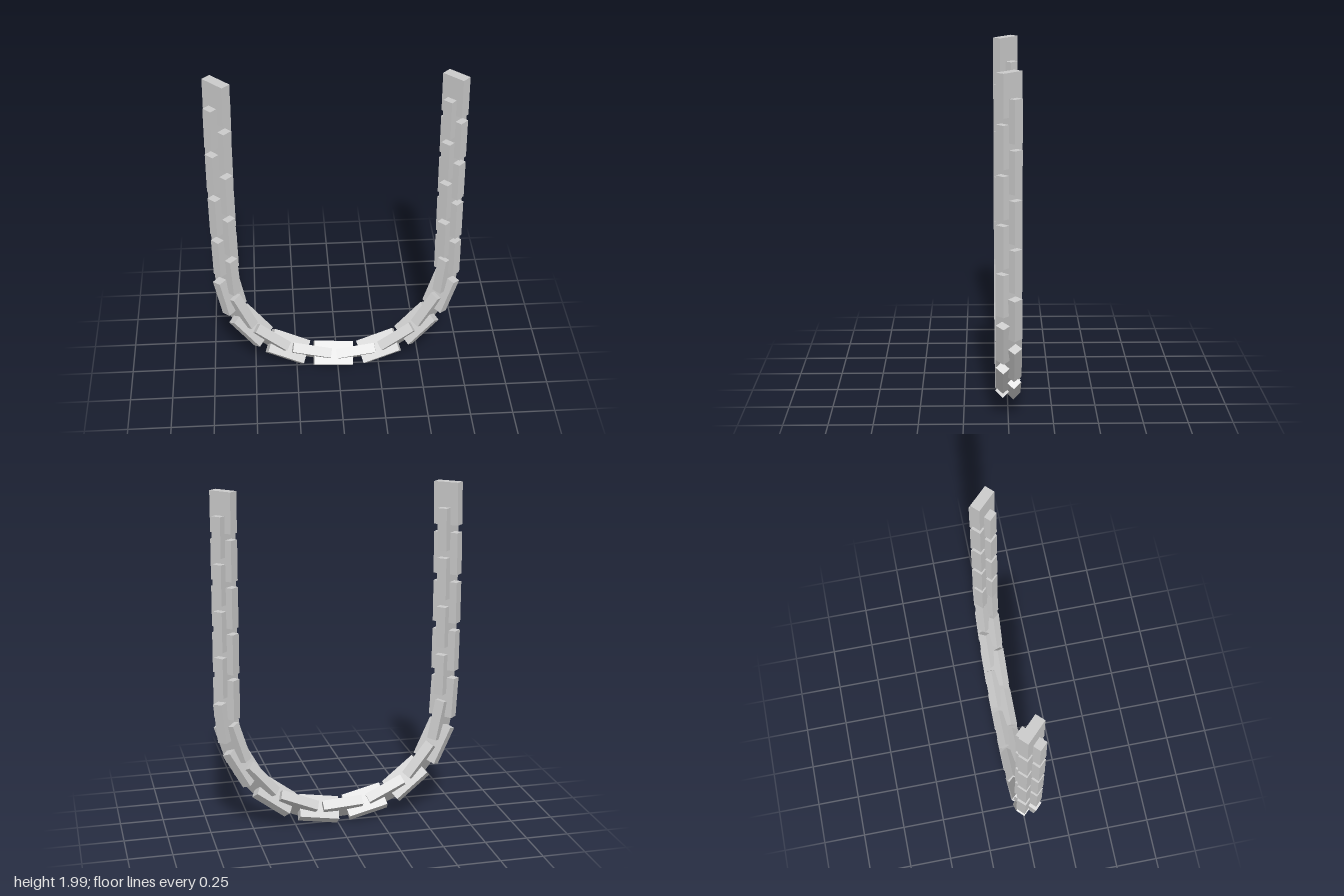
import * as THREE from 'three';

// Link centres: left run going down, bend through the bottom, right run going up
function linkCentres() {
  const pts = [];
  for (let i = 0; i < 8; i++) {
    pts.push(new THREE.Vector3(-0.645 - 0.006 * Math.sin(i * Math.PI / 8), 1.88 - 0.1425 * i, 0));
  }
  const bend = new THREE.CatmullRomCurve3([
    [-0.645, 0.74], [-0.62, 0.54], [-0.52, 0.345], [-0.36, 0.195], [-0.2, 0.125],
    [0.065, 0.092], [0.31, 0.165], [0.48, 0.31], [0.595, 0.5], [0.64, 0.69],
  ].map(([x, y]) => new THREE.Vector3(x, y, 0)));
  pts.push(...bend.getSpacedPoints(14));
  for (let i = 1; i <= 9; i++) {
    pts.push(new THREE.Vector3(0.64 - 0.0008 * i, 0.69 + 0.1325 * i, 0));
  }
  return pts;
}

export function createModel() {
  const group = new THREE.Group();
  group.name = 'hangingChain';
  const material = new THREE.MeshStandardMaterial({ color: 0xcccccc, flatShading: true });
  const pts = linkCentres();
  const last = pts.length - 1;
  const depth = new THREE.Vector3(0, 0, 1);

  // Flat plates, turned alternately 45 degrees either way about the chain
  pts.forEach((p, i) => {
    const t = i / last;
    const tangent = pts[Math.min(i + 1, last)].clone().sub(pts[Math.max(i - 1, 0)]).normalize();
    const inward = new THREE.Vector3(-tangent.y, tangent.x, 0);
    const across = inward.addScaledVector(depth, i % 2 ? -1 : 1).normalize();
    const normal = across.clone().cross(tangent);
    const size = [0.15 - 0.012 * t, 0.242 - 0.014 * t, 0.058];
    const link = new THREE.Mesh(new THREE.BoxGeometry(...size), material);
    link.name = `chainLink${i + 1}`;
    link.quaternion.setFromRotationMatrix(new THREE.Matrix4().makeBasis(across, tangent, normal));
    link.position.copy(p);
    group.add(link);
  });
  return group;
}
